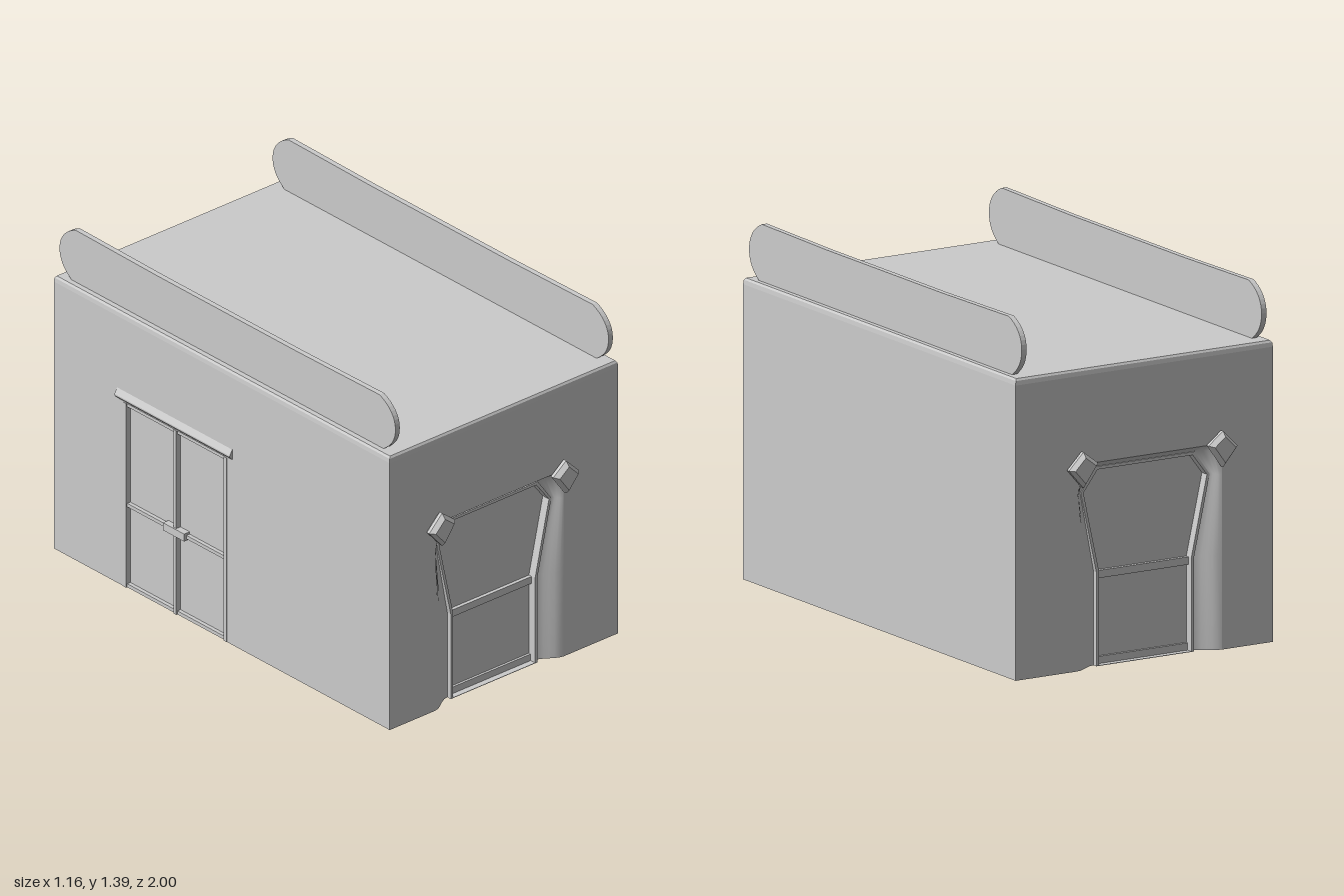
import * as THREE from 'three';

const mat = new THREE.MeshStandardMaterial({ color: 0xcccccc, side: THREE.DoubleSide });
const flat = new THREE.MeshStandardMaterial({ color: 0xcccccc, side: THREE.DoubleSide, flatShading: true });

const X0 = -0.57, X1 = 0.58, Z = 0.955, EAVE = 1.145, TOP = 1.17;
const CX = -0.018; // centre line of the end doorways

function add(parent, name, geometry, material = mat) {
  const mesh = new THREE.Mesh(geometry, material);
  mesh.name = name;
  parent.add(mesh);
  return mesh;
}

function box(parent, name, [x0, x1], [y0, y1], [z0, z1]) {
  const mesh = add(parent, name, new THREE.BoxGeometry(x1 - x0, y1 - y0, z1 - z0));
  mesh.position.set((x0 + x1) / 2, (y0 + y1) / 2, (z0 + z1) / 2);
  return mesh;
}

// Surface through rows of points; rows go up, points go left to right
function loft(rows, closed = false) {
  const n = rows[0].length, index = [];
  for (let r = 0; r < rows.length - 1; r++) {
    for (let c = 0; c < (closed ? n : n - 1); c++) {
      const a = r * n + c, b = r * n + (c + 1) % n;
      index.push(a, b, b + n, a, b + n, a + n);
    }
  }
  const g = new THREE.BufferGeometry();
  g.setAttribute('position', new THREE.Float32BufferAttribute(rows.flat(2), 3));
  g.setIndex(index);
  g.computeVertexNormals();
  return g;
}

const shapeOf = (pts) => new THREE.Shape(pts.map(([x, y]) => new THREE.Vector2(x, y)));

// Doorway outline, half width at each height, with optional margin inward
function doorOutline(m) {
  const half = [[0.218 - m, 0], [0.218 - m, 0.365], [0.288 - m, 0.68], [0.22 - m * 0.6, 0.775 - m]];
  return [...half.map(([x, y]) => [CX + x, y]),
    ...half.slice().reverse().map(([x, y]) => [CX - x, y])];
}

// Lamp: kite-shaped sections, narrow at the foot, wide in the middle
function lamp(parent, side) {
  const kite = [[-0.065, 0.005], [0, -0.07], [0.065, 0.02], [0, 0.07]];
  const section = (s, z) => kite.map(([x, y]) => [x * s, y * s, z]);
  const g = loft([section(0.7, 0.94), section(0.75, 0.96), section(1, 0.968),
    section(1, 0.982), section(0.72, 1), section(0, 1)], true);
  const mesh = add(parent, side < 0 ? 'rightLamp' : 'leftLamp', g, flat);
  mesh.position.set(CX + side * 0.312, 0.785, 0);
  mesh.scale.x = -side;
}

// End wall whose surface curves in towards a recessed doorway
function endWall(name) {
  const group = new THREE.Group();
  group.name = name;
  const levels = [[0, 0.218, 0.05], [0.365, 0.218, 0.05], [0.68, 0.288, 0.035],
    [0.775, 0.22, 0.035], [0.8, 0.25, 0]];
  const steps = 6;
  for (const side of [-1, 1]) {
    const corner = side < 0 ? X0 : X1;
    const order = (row) => (side > 0 ? row.reverse() : row);
    add(group, 'wallSide', loft(levels.map(([y]) =>
      order([[corner, y, Z], [CX + side * 0.325, y, Z]]))));
    add(group, 'wallCurve', loft(levels.map(([y, half, depth]) => {
      const row = [];
      for (let i = 0; i <= steps; i++) {
        const t = i / steps;
        row.push([CX + side * (0.325 + (half - 0.325) * t), y, Z - depth * t * t * (3 - 2 * t)]);
      }
      return order(row);
    })));
    lamp(group, side);
  }
  add(group, 'lintel', loft([
    [[CX - 0.22, 0.775, Z - 0.035], [CX + 0.22, 0.775, Z - 0.035]],
    [[CX - 0.25, 0.8, Z], [CX + 0.25, 0.8, Z]]]));
  add(group, 'upperWall', loft([[[X0, 0.8, Z], [X1, 0.8, Z]], [[X0, EAVE, Z], [X1, EAVE, Z]]]));

  // Door frame, panel and rails
  const frame = shapeOf(doorOutline(0));
  frame.holes.push(new THREE.Path(doorOutline(0.012).map(([x, y]) => new THREE.Vector2(x, y === 0 ? 0.002 : y))));
  const frameMesh = add(group, 'doorFrame', new THREE.ExtrudeGeometry(frame, { depth: 0.04, bevelEnabled: false }), flat);
  frameMesh.position.z = 0.885;
  add(group, 'doorPanel', new THREE.ShapeGeometry(shapeOf(doorOutline(0.005)))).position.z = 0.89;
  const span = [CX - 0.21, CX + 0.21];
  box(group, 'middleRail', span, [0.335, 0.365], [0.885, 0.905]);
  box(group, 'bottomRail', span, [0, 0.03], [0.885, 0.9]);
  return group;
}

// Side wall with a two-leaf door, facing -x
function doorWall() {
  const group = new THREE.Group();
  group.name = 'doorWall';
  const z0 = -0.56, z1 = 0.03, mid = (z0 + z1) / 2, h = 0.79;
  const shape = shapeOf([[-Z, 0], [z0, 0], [z0, h], [z1, h], [z1, 0], [Z, 0], [Z, EAVE], [-Z, EAVE]]);
  const wall = add(group, 'wall', new THREE.ShapeGeometry(shape).rotateY(-Math.PI / 2));
  wall.position.x = X0;
  const panel = add(group, 'doorPanels', new THREE.PlaneGeometry(z1 - z0, h).rotateY(-Math.PI / 2));
  panel.position.set(X0 + 0.02, h / 2, mid);
  const depth = [X0 - 0.002, X0 + 0.022];
  for (const [a, b] of [[z0, z0 + 0.018], [mid - 0.008, mid + 0.008], [z1 - 0.018, z1]]) {
    box(group, 'doorPost', depth, [0, h], [a, b]);
  }
  for (const y of [0, 0.345, h - 0.015]) box(group, 'doorRail', [X0 + 0.004, X0 + 0.022], [y, y + 0.015], [z0, z1]);
  box(group, 'doorHandle', [X0 - 0.008, X0 + 0.02], [0.338, 0.37], [mid - 0.06, mid + 0.06]);
  // Header with a sloping top
  const header = shapeOf([[0, 0.795], [-0.013, 0.808], [-0.013, 0.815], [0, 0.838]]);
  const g = new THREE.ExtrudeGeometry(header, { depth: 0.655, bevelEnabled: false });
  add(group, 'doorHeader', g, flat).position.set(X0, 0, -0.595);
  return group;
}

// Long upright board with rounded ends
function roofBoard(name, x) {
  const s = new THREE.Shape();
  s.moveTo(-0.88, TOP - 0.005);
  s.lineTo(0.88, TOP - 0.005);
  s.bezierCurveTo(0.935, 1.2, 0.955, 1.235, 0.955, 1.28);
  s.bezierCurveTo(0.955, 1.33, 0.92, 1.37, 0.865, 1.392);
  s.lineTo(0.4, 1.386);
  s.lineTo(-0.4, 1.386);
  s.lineTo(-0.865, 1.392);
  s.bezierCurveTo(-0.92, 1.37, -0.955, 1.33, -0.955, 1.28);
  s.bezierCurveTo(-0.955, 1.235, -0.935, 1.2, -0.88, TOP - 0.005);
  const g = new THREE.ExtrudeGeometry(s, { depth: 0.022, bevelEnabled: false, curveSegments: 8 });
  const mesh = new THREE.Mesh(g.rotateY(-Math.PI / 2), mat);
  mesh.position.x = x + 0.011;
  mesh.name = name;
  return mesh;
}

export function createModel() {
  const model = new THREE.Group();
  model.name = 'building';

  model.add(endWall('frontWall'));
  const back = endWall('backWall');
  back.scale.z = -1;
  model.add(back);
  model.add(doorWall());
  add(model, 'leftWall', loft([[[X1, 0, Z], [X1, 0, -Z]], [[X1, EAVE, Z], [X1, EAVE, -Z]]]));

  // Roof slab with a slightly bevelled edge
  const ring = (inset, y) => [[X0 + inset, y, Z - inset], [X1 - inset, y, Z - inset],
    [X1 - inset, y, -Z + inset], [X0 + inset, y, -Z + inset]];
  add(model, 'roofEdge', loft([ring(0, EAVE), ring(0.002, 1.162), ring(0.008, TOP)], true), flat);
  const top = add(model, 'roof', new THREE.PlaneGeometry(X1 - X0 - 0.016, 2 * Z - 0.016).rotateX(-Math.PI / 2));
  top.position.set((X0 + X1) / 2, TOP, 0);

  model.add(roofBoard('rightRoofBoard', -0.53), roofBoard('leftRoofBoard', 0.542));
  return model;
}
